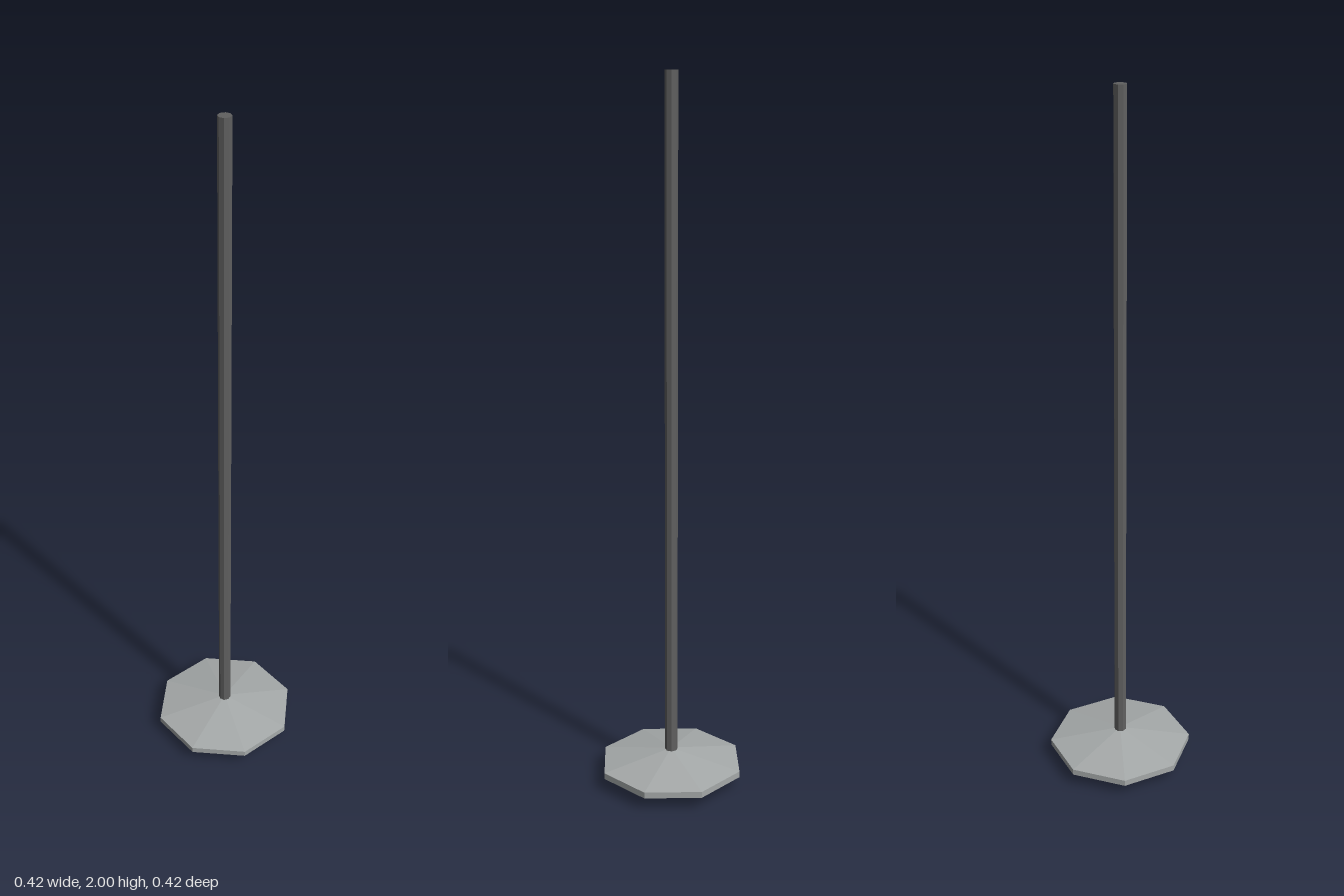
import * as THREE from 'three';

const SIDES = 8;

function material(name, color) {
  const m = new THREE.MeshStandardMaterial({ color, flatShading: true });
  m.name = name;
  return m;
}

// Faceted solid of revolution from [radius, height] pairs, listed bottom to top
function turned(name, profile, mat) {
  const points = profile.map(([r, y]) => new THREE.Vector2(r, y));
  const mesh = new THREE.Mesh(new THREE.LatheGeometry(points, SIDES), mat);
  mesh.name = name;
  return mesh;
}

export function createModel() {
  const group = new THREE.Group();
  group.name = 'pendantLamp';
  const paleMetal = material('pale metal', 0xa5a9a9);
  const darkMetal = material('dark metal', 0x606060);

  // Shallow conical shade with a thin upright rim and flat underside
  group.add(turned('shade', [[0, 0.037], [0.21, 0.037], [0.21, 0.055], [0, 0.092]], paleMetal));

  // Chamfered lamp housing below the shade
  group.add(turned('lampHousing', [[0, 0.005], [0.078, 0.005], [0.095, 0.022], [0.095, 0.038]], darkMetal));

  // Small boss closing the underside of the housing
  group.add(turned('housingBoss', [[0, 0], [0.02, 0.005]], darkMetal));

  // Long suspension rod, turned so a flat faces forward
  const rod = turned('rod', [[0, 0.08], [0.018, 0.08], [0.018, 2], [0, 2]], darkMetal);
  rod.rotation.y = Math.PI / SIDES;
  group.add(rod);

  return group;
}
